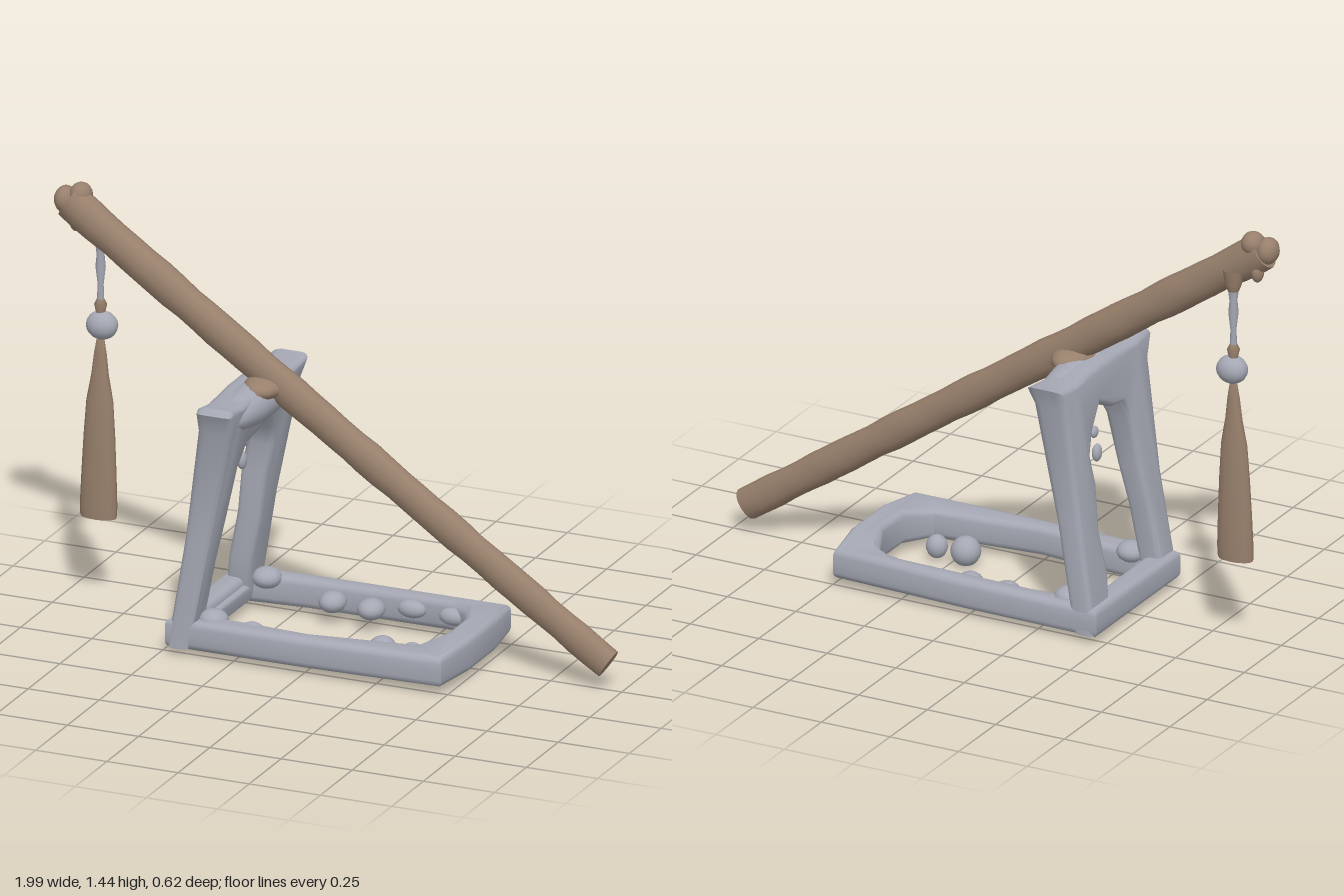
import * as THREE from 'three';
import { toCreasedNormals } from 'three/addons/utils/BufferGeometryUtils.js';

const grey = new THREE.MeshStandardMaterial({ color: 0xa5a8b4 });
grey.name = 'weathered grey';
const brown = new THREE.MeshStandardMaterial({ color: 0x98806c });
brown.name = 'brown wood';

// Moves every vertex by a rule
function warp(geo, rule) {
  const p = geo.attributes.position, v = new THREE.Vector3();
  for (let i = 0; i < p.count; i++) {
    v.fromBufferAttribute(p, i);
    rule(v);
    p.setXYZ(i, v.x, v.y, v.z);
  }
  geo.computeVertexNormals();
  return geo;
}

// Rounded plate with one opening, centred on its thickness
function frame(outer, inner, depth, bevel) {
  const pts = (list) => list.map(([a, b]) => new THREE.Vector2(a, b));
  const shape = new THREE.Shape(pts(outer));
  shape.holes.push(new THREE.Path(pts(inner)));
  const geo = new THREE.ExtrudeGeometry(shape, {
    depth: depth - 2 * bevel, bevelSize: bevel, bevelThickness: bevel,
    bevelOffset: -bevel, bevelSegments: 3, steps: 2,
  });
  return geo.translate(0, 0, bevel - depth / 2);
}

export function createModel() {
  const model = new THREE.Group();
  const add = (name, geo, mat, parent = model) => {
    const m = new THREE.Mesh(geo, mat);
    m.name = name;
    parent.add(m);
    return m;
  };
  const blob = (name, mat, [x, y, z], [a, b, c], parent) => {
    const m = add(name, new THREE.SphereGeometry(1, 14, 10), mat, parent);
    m.position.set(x, y, z);
    m.scale.set(a, b, c);
    return m;
  };

  // Flat base frame
  const base = frame(
    [[-0.48, -0.285], [0, -0.285], [0.49, -0.27], [0.515, -0.1], [0.515, 0.1], [0.49, 0.28], [0, 0.29], [-0.48, 0.28]],
    [[-0.40, -0.2], [-0.2, -0.215], [0.3, -0.21], [0.37, -0.17], [0.42, -0.06], [0.42, 0.08], [0.36, 0.17],
      [0.2, 0.19], [0, 0.215], [-0.2, 0.2], [-0.40, 0.19]],
    0.1, 0.022).rotateX(Math.PI / 2);
  warp(base, (v) => {
    v.y += 0.08 + 0.008 * v.x;
    if (v.x > 0.38 && v.y > 0.08) v.y += 0.025 * (1 - Math.abs(v.z) / 0.3);
  });
  add('baseFrame', toCreasedNormals(base, 0.8), grey);

  // Leaning upright frame, thicker and flared at the top
  const upright = frame(
    [[0.285, 0.03], [0.272, 0.4], [0.275, 0.78], [0.31, 0.855], [0.29, 0.875], [0.2, 0.862], [0.05, 0.875],
      [-0.1, 0.875], [-0.2, 0.86], [-0.31, 0.87], [-0.285, 0.8], [-0.28, 0.4], [-0.285, 0.03]],
    [[0.18, 0.1], [0.165, 0.3], [0.14, 0.45], [0.125, 0.62], [0.09, 0.69], [0.02, 0.7], [-0.06, 0.74],
      [-0.12, 0.67], [-0.15, 0.6], [-0.135, 0.5], [-0.155, 0.35], [-0.14, 0.2], [-0.16, 0.1]],
    0.09, 0.02).rotateY(-Math.PI / 2);
  warp(upright, (v) => {
    const t = (v.y - 0.04) / 0.83;
    v.x = v.x * (0.92 + 0.55 * t * t * t) - 0.432 + 0.135 * t;
  });
  add('uprightFrame', toCreasedNormals(upright, 0.8), grey);

  // Rounded top of the crossbar
  blob('crossbarSaddle', grey, [-0.28, 0.815, 0], [0.075, 0.07, 0.26]);

  // Lumps of leftover material round the frames
  const lumps = [
    [0.2, 0.055, 0.09, 0.05, 0.05, 0.05], [0.3, 0.055, 0.08, 0.036, 0.04, 0.035],
    [-0.1, 0.08, -0.19, 0.045, 0.035, 0.05], [0.04, 0.08, -0.18, 0.045, 0.035, 0.05],
    [0.17, 0.09, -0.21, 0.05, 0.03, 0.03], [0.32, 0.09, -0.2, 0.05, 0.03, 0.03],
    [-0.2, 0.1, 0.215, 0.045, 0.035, 0.03], [-0.34, 0.12, 0.21, 0.05, 0.035, 0.05],
    [-0.34, 0.12, -0.21, 0.05, 0.035, 0.05],
    [-0.35, 0.64, -0.06, 0.012, 0.02, 0.02], [-0.36, 0.57, -0.06, 0.015, 0.03, 0.022],
  ];
  for (const [x, y, z, a, b, c] of lumps) blob('lump', grey, [x, y, z], [a, b, c]);

  // Long slanted pole, tapering to its lower end
  const low = new THREE.Vector2(0.955, 0.095), high = new THREE.Vector2(-0.95, 1.382);
  const length = low.distanceTo(high);
  const pole = new THREE.CylinderGeometry(1, 1, length, 12, 36);
  warp(pole, (v) => {
    const t = v.y / length + 0.5;
    const wobble = 1 + 0.03 * Math.sin(t * 47) + 0.02 * Math.sin(t * 83 + v.x * 3);
    v.x *= (0.054 + 0.008 * t) * wobble;
    v.z = v.z * (0.037 + 0.012 * t) * wobble + 0.005 - 0.03 * t * t;
  });
  const poleMesh = add('pole', toCreasedNormals(pole, 0.9), brown);
  poleMesh.position.set((low.x + high.x) / 2, (low.y + high.y) / 2, 0);
  poleMesh.rotation.z = Math.atan2(low.x - high.x, high.y - low.y);

  // Knobbly tip, stub and saddle joint on the pole
  blob('poleTip', brown, [-0.965, 1.385, -0.025], [0.036, 0.045, 0.045]);
  blob('poleTip', brown, [-0.915, 1.405, -0.035], [0.038, 0.04, 0.042]);
  blob('poleStub', brown, [-0.935, 1.31, -0.04], [0.02, 0.035, 0.025]);
  blob('poleJoint', brown, [-0.25, 0.865, -0.005], [0.07, 0.04, 0.105]);

  // Hanging pendant: cord, bead and flattened tassel
  const pendant = new THREE.Group();
  pendant.name = 'pendant';
  pendant.position.set(-0.855, 0, -0.055);
  model.add(pendant);
  const lathe = (name, profile, mat, depth) => {
    const m = add(name, new THREE.LatheGeometry(profile.map(([r, y]) => new THREE.Vector2(r, y)), 14), mat, pendant);
    m.scale.z = depth;
    return m;
  };
  lathe('cord', [[0.012, 1.04], [0.01, 1.1], [0.017, 1.16], [0.013, 1.2], [0.018, 1.24]], grey, 1);
  lathe('cordTop', [[0.018, 1.235], [0.028, 1.26], [0.035, 1.31]], brown, 1);
  lathe('cordKnot', [[0.012, 0.99], [0.021, 1.03], [0.012, 1.05]], brown, 1);
  blob('bead', grey, [0.005, 0.96, 0], [0.054, 0.048, 0.044], pendant);
  const tassel = lathe('tassel', [[0, 0.3], [0.062, 0.302], [0.064, 0.34], [0.06, 0.45], [0.054, 0.58], [0.046, 0.7],
    [0.03, 0.79], [0.022, 0.86], [0.012, 0.92], [0, 0.93]], brown, 0.55);
  warp(tassel.geometry, (v) => { v.x -= 0.012 * (0.93 - v.y); });
  tassel.geometry = toCreasedNormals(tassel.geometry, 0.9);

  return model;
}
